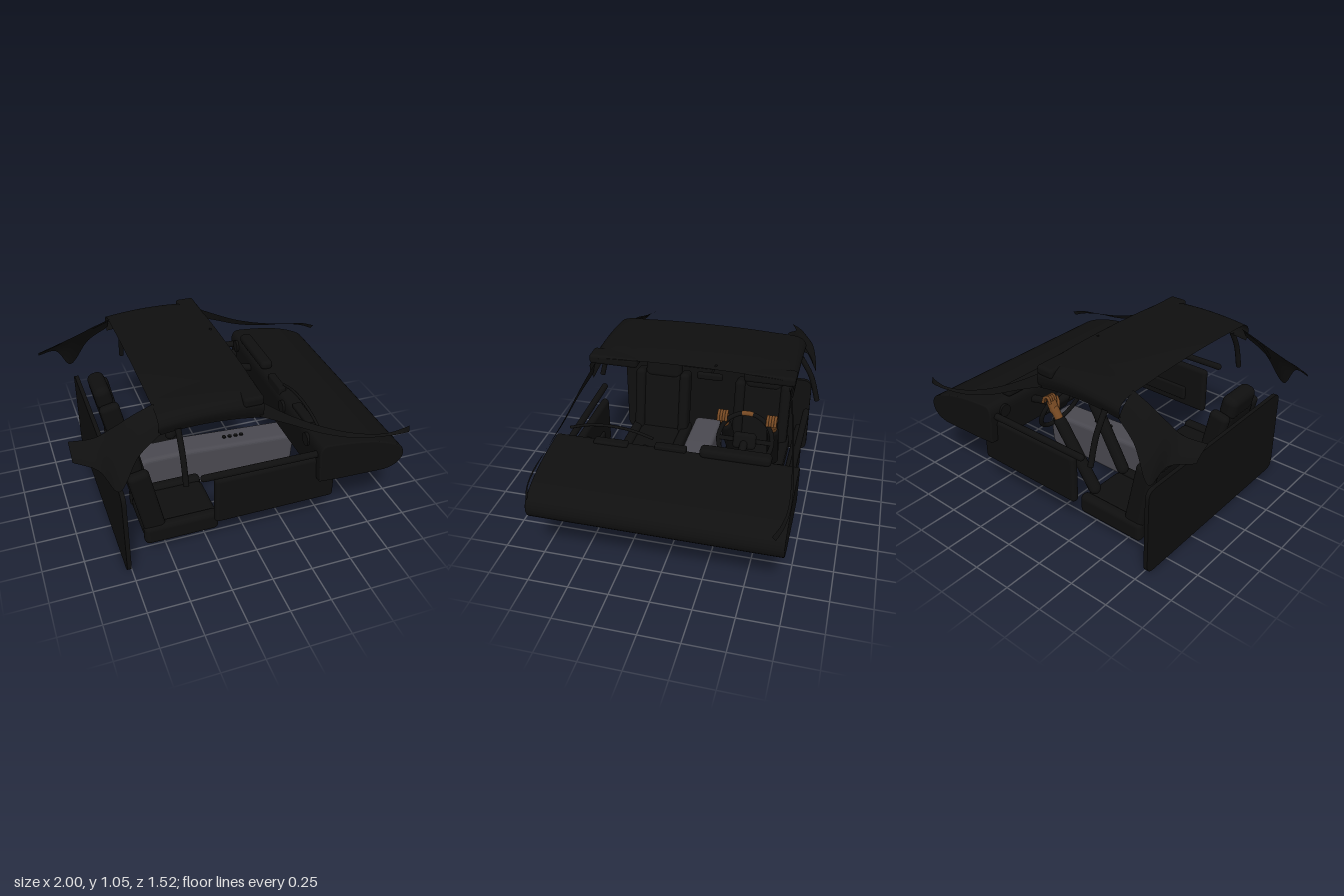
import * as THREE from 'three';
import { RoundedBoxGeometry } from 'three/addons/geometries/RoundedBoxGeometry.js';
import { ParametricGeometry } from 'three/addons/geometries/ParametricGeometry.js';

const V = (x, y, z) => new THREE.Vector3(x, y, z);

export function createModel() {
  const root = new THREE.Group();
  const mat = (name, color, side = THREE.FrontSide) => {
    const m = new THREE.MeshStandardMaterial({ color, side });
    m.name = name;
    return m;
  };
  const trim = mat('black trim', 0x0f0f0f, THREE.DoubleSide);
  const grey = mat('console grey', 0x4a4950);
  const brown = mat('brown', 0x754822);

  const add = (name, geo, m, pos = [0, 0, 0], rot = [0, 0, 0], parent = root) => {
    const mesh = new THREE.Mesh(geo, m);
    mesh.name = name;
    mesh.position.set(...pos);
    mesh.rotation.set(...rot);
    parent.add(mesh);
    return mesh;
  };
  const rbox = (w, h, d, r) => new RoundedBoxGeometry(w, h, d, 4, r);
  const curve = (pts) => new THREE.CatmullRomCurve3(pts.map((p) => V(...p)));
  const tube = (pts, r, n = 24) => new THREE.TubeGeometry(curve(pts), n, r, 10);
  // Rod with rounded ends between two points
  const rod = (name, a, b, r, m) => {
    const p = V(...a), q = V(...b), d = q.clone().sub(p);
    const mesh = add(name, new THREE.CapsuleGeometry(r, d.length() - 2 * r, 6, 14), m);
    mesh.position.copy(p).add(q).multiplyScalar(0.5);
    mesh.quaternion.setFromUnitVectors(V(0, 1, 0), d.normalize());
    return mesh;
  };
  // Ruled sheet between two edge curves
  const sheet = (a, b, bulge = 0) => {
    const ca = curve(a), cb = curve(b);
    return new ParametricGeometry((u, v, t) => {
      t.copy(ca.getPoint(u)).lerp(cb.getPoint(u), v);
      t.z += Math.sign(t.z) * bulge * Math.sin(Math.PI * v);
    }, 32, 8);
  };
  // Extrusion of a side profile, centred across z
  const extrudeZ = (shape, width, bevel) => {
    const g = new THREE.ExtrudeGeometry(shape, {
      depth: width - 2 * bevel, bevelEnabled: bevel > 0, bevelSize: bevel,
      bevelThickness: bevel, bevelOffset: -bevel, bevelSegments: 4, curveSegments: 12,
    });
    return g.translate(0, 0, -width / 2 + bevel);
  };

  // Dashboard with rounded nose
  const dash = new THREE.Shape();
  dash.moveTo(0.39, 0.41);
  dash.lineTo(0.38, 0.6);
  dash.quadraticCurveTo(0.38, 0.665, 0.43, 0.665);
  dash.bezierCurveTo(0.65, 0.65, 0.8, 0.62, 0.91, 0.55);
  dash.bezierCurveTo(0.97, 0.5, 0.95, 0.4, 0.82, 0.39);
  dash.lineTo(0.52, 0.4);
  dash.closePath();
  add('dashboard', extrudeZ(dash, 1.47, 0.008), trim);
  add('dashboardHood', rbox(0.08, 0.06, 0.42, 0.025), trim, [0.42, 0.69, -0.365]);
  add('centreDisplay', rbox(0.05, 0.09, 0.19, 0.01), trim, [0.41, 0.645, 0.025]);
  add('passengerPad', rbox(0.06, 0.04, 0.21, 0.012), trim, [0.43, 0.66, 0.385]);
  for (const z of [0.55, 0.19, -0.62]) {
    add('airVent', new THREE.CylinderGeometry(0.04, 0.04, 0.02, 20), trim, [0.378, 0.6, z], [0, 0, Math.PI / 2]);
  }
  add('passengerBar', tube([[0.41, 0.72, 0.645], [0.41, 0.755, 0.53], [0.41, 0.768, 0.39], [0.41, 0.755, 0.25], [0.41, 0.72, 0.13]], 0.009), trim);

  // Centre console
  const con = new THREE.Shape();
  con.moveTo(-0.48, 0.035);
  con.lineTo(0.47, 0.035);
  con.quadraticCurveTo(0.51, 0.035, 0.515, 0.08);
  con.lineTo(0.525, 0.22);
  con.quadraticCurveTo(0.525, 0.275, 0.47, 0.28);
  con.lineTo(-0.2, 0.32);
  con.lineTo(-0.48, 0.32);
  con.quadraticCurveTo(-0.56, 0.31, -0.56, 0.22);
  con.lineTo(-0.56, 0.12);
  con.quadraticCurveTo(-0.55, 0.04, -0.48, 0.035);
  add('centreConsole', extrudeZ(con, 0.185, 0.025), grey);
  for (let i = 0; i < 4; i++) {
    add('consoleButton', new THREE.CylinderGeometry(0.013, 0.013, 0.012, 16), trim, [0.06 + i * 0.04, 0.307 - i * 0.0025, 0]);
  }

  // Rear wall with rounded corners
  const wall = new THREE.Shape();
  const w = 0.68, h = 0.575, r = 0.06;
  wall.moveTo(-w + r, 0);
  wall.lineTo(w - r, 0);
  wall.quadraticCurveTo(w, 0, w, r);
  wall.lineTo(w, h - r);
  wall.quadraticCurveTo(w, h, w - r, h);
  wall.lineTo(-w + r, h);
  wall.quadraticCurveTo(-w, h, -w, h - r);
  wall.lineTo(-w, r);
  wall.quadraticCurveTo(-w, 0, -w + r, 0);
  add('rearWall', new THREE.ExtrudeGeometry(wall, { depth: 0.026, bevelEnabled: false }), trim, [-0.78, 0, 0], [0, Math.PI / 2, 0]);

  // Roof lining: arched across, gently bowed along its length, sides turned down
  const section = curve([[0, 0.905, -0.615], [0, 0.97, -0.635], [0, 1.015, -0.6], [0, 1.035, -0.4], [0, 1.045, 0],
    [0, 1.035, 0.4], [0, 1.015, 0.6], [0, 0.97, 0.635], [0, 0.905, 0.615]]);
  add('roof', new ParametricGeometry((u, v, t) => {
    t.copy(section.getPoint(v));
    const bow = 2 * u - 1;
    t.x = -0.54 + 0.6 * u;
    t.y += 0.008 - 0.02 * bow * bow - (t.y < 0.96 ? 0.02 * u * u : 0);
  }, 16, 64), trim);

  // Mirror and stalk
  add('mirror', rbox(0.03, 0.046, 0.16, 0.015), trim, [0.04, 0.972, -0.125]);
  rod('mirrorStalk', [0.02, 1.045, -0.16], [0.04, 0.97, -0.125], 0.007, trim);

  for (const s of [-1, 1]) {
    // Sun visors
    add('sunVisor', rbox(0.12, 0.06, 0.31, 0.02), trim, [0, 1.0, s * 0.485]);
    // Windscreen pillars, flat strips that curve down to the nose
    add('windscreenPillar', sheet(
      [[0.04, 0.98, s * 0.6], [0.2, 0.88, s * 0.645], [0.4, 0.775, s * 0.68], [0.6, 0.7, s * 0.71], [0.8, 0.655, s * 0.72], [0.93, 0.645, s * 0.7], [1, 0.63, s * 0.67]],
      [[0.04, 0.89, s * 0.625], [0.2, 0.825, s * 0.66], [0.4, 0.735, s * 0.695], [0.6, 0.675, s * 0.725], [0.8, 0.645, s * 0.735], [0.93, 0.62, s * 0.715], [0.99, 0.6, s * 0.69]]), trim);
    // Rear quarter pillars
    add('rearPillar', sheet(
      [[-0.53, 1.03, s * 0.51], [-0.64, 0.99, s * 0.515], [-0.76, 0.94, s * 0.525], [-0.87, 0.9, s * 0.53], [-1, 0.88, s * 0.49]],
      [[-0.53, 0.91, s * 0.63], [-0.66, 0.82, s * 0.66], [-0.79, 0.64, s * 0.7], [-0.88, 0.78, s * 0.66], [-1, 0.81, s * 0.585]], 0.015), trim);
    // Upright belt pillars
    add('sidePillar', tube([[-0.43, 0.92, s * 0.62], [-0.43, 0.79, s * 0.695], [-0.43, 0.62, s * 0.745]], 0.017), trim);
    // Doors
    add('doorPanel', rbox(0.76, 0.32, 0.05, 0.024), trim, [0.14, 0.39, s * 0.66]);
    add('doorPocket', rbox(0.5, 0.1, 0.03, 0.014), trim, [0.16, 0.33, s * 0.635]);
    rod('doorRail', [-0.33, 0.595, s * 0.69], [0.4, 0.585, s * 0.685], 0.021, trim);

    // Seats
    const seat = new THREE.Group();
    seat.name = 'seat';
    seat.position.z = s * 0.36;
    root.add(seat);
    add('cushion', rbox(0.46, 0.11, 0.32, 0.04), trim, [-0.4, 0.125, 0], [0, 0, 0], seat);
    const back = new THREE.Group();
    back.name = 'seatBack';
    back.position.set(-0.56, 0.1, 0);
    back.rotation.z = 0.2;
    seat.add(back);
    add('backrest', rbox(0.1, 0.5, 0.3, 0.04), trim, [0, 0.24, 0], [0, 0, 0], back);
    add('headrest', rbox(0.11, 0.16, 0.26, 0.045), trim, [0, 0.52, 0], [0, 0, 0], back);
    for (const k of [-1, 1]) {
      add('cushionBolster', rbox(0.46, 0.13, 0.07, 0.03), trim, [-0.405, 0.135, k * 0.175], [0, 0, 0], seat);
      add('backBolster', rbox(0.13, 0.5, 0.07, 0.03), trim, [0.01, 0.25, k * 0.16], [0, 0, 0], back);
    }
  }

  // Steering wheel, facing the driver
  const wheel = new THREE.Group();
  wheel.name = 'steeringWheel';
  wheel.position.set(0.14, 0.615, -0.37);
  wheel.rotation.set(0, Math.PI / 2, 0);
  root.add(wheel);
  const tilt = new THREE.Group();
  tilt.name = 'wheelTilt';
  tilt.rotation.x = -0.42;
  wheel.add(tilt);
  add('rim', new THREE.TorusGeometry(0.165, 0.014, 12, 48), trim, [0, 0, 0], [0, 0, 0], tilt);
  add('rimInlay', new THREE.TorusGeometry(0.165, 0.0155, 12, 10, 0.4), brown, [0, 0, 0], [0, 0, Math.PI / 2 - 0.2], tilt);
  add('hub', rbox(0.14, 0.1, 0.05, 0.022), trim, [0, 0, 0.02], [0, 0, 0], tilt);
  for (const a of [0, Math.PI, -Math.PI / 2]) {
    add('spoke', rbox(0.11, 0.03, 0.014, 0.006), trim, [0.11 * Math.cos(a), 0.11 * Math.sin(a), 0.005], [0, 0, a], tilt);
  }
  rod('steeringColumn', [0.15, 0.62, -0.37], [0.42, 0.56, -0.37], 0.024, trim);

  // Driver's sleeves and hands on the rim
  for (const s of [-1, 1]) {
    const z = -0.37 + s * 0.15;
    const sleeve = rod('sleeve', [-0.26, 0.21, -0.37 + s * 0.13], [0.025, 0.65, z], 0.04, trim);
    sleeve.scale.set(0.95, 1, 0.95);
    rod('wrist', [-0.01, 0.6, z], [0.06, 0.71, z], 0.026, brown);
    add('palm', rbox(0.045, 0.085, 0.055, 0.018), brown, [0.06, 0.705, z], [0, 0, -0.45]);
    for (let i = 0; i < 4; i++) {
      const fz = z - 0.024 + i * 0.016;
      add('finger', tube([[0.06, 0.73, fz], [0.075, 0.768, fz], [0.105, 0.755, fz], [0.12, 0.72, fz]], 0.009, 10), brown);
    }
    add('thumb', tube([[0.04, 0.69, z - s * 0.02], [0.06, 0.72, z - s * 0.045], [0.08, 0.745, z - s * 0.05]], 0.01, 8), brown);
  }
  return root;
}
